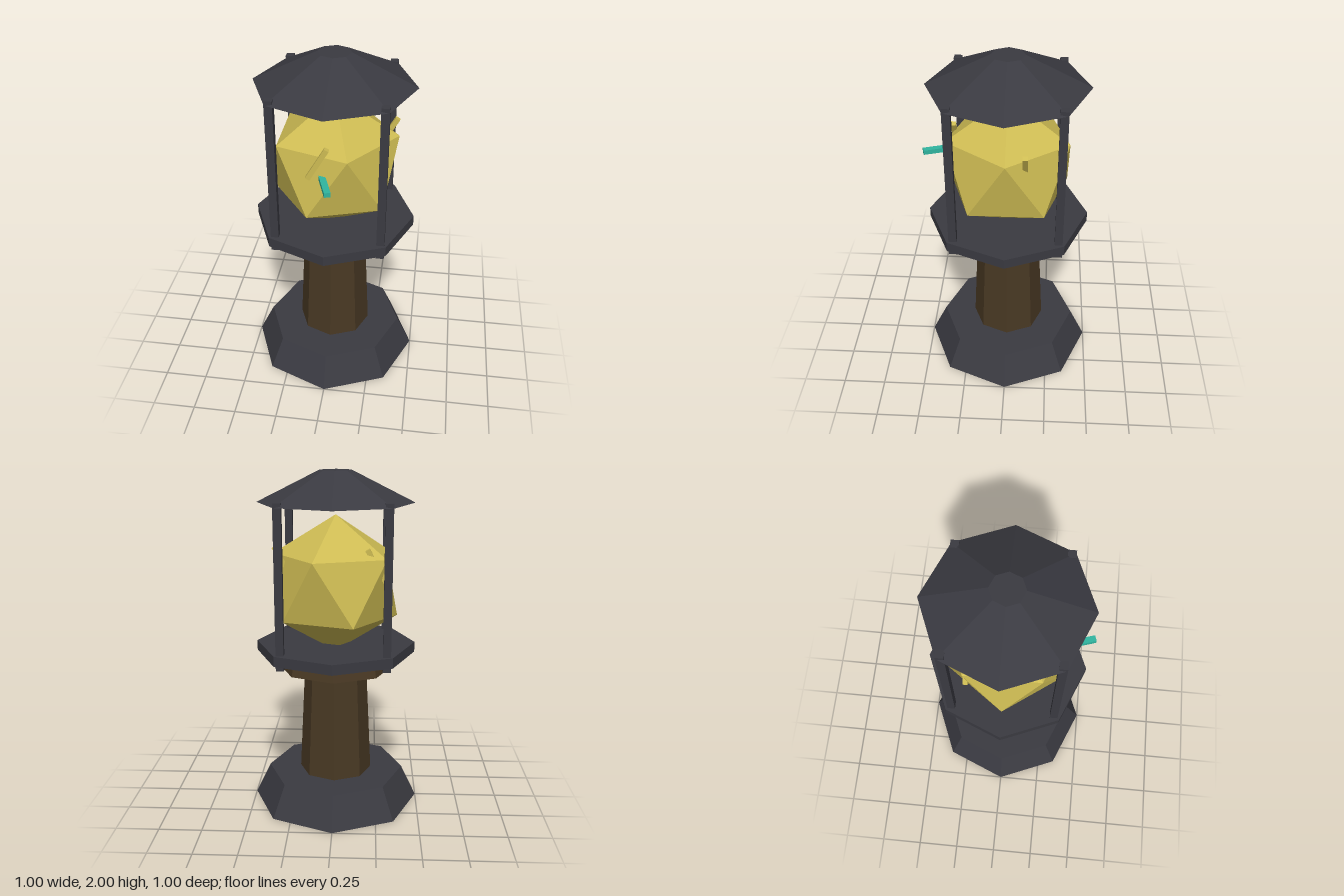
import * as THREE from 'three';
import { ConvexGeometry } from 'three/addons/geometries/ConvexGeometry.js';

function material(name, color) {
  const m = new THREE.MeshStandardMaterial({ color, flatShading: true });
  m.name = name;
  return m;
}

export function createModel() {
  const group = new THREE.Group();
  const iron = material('dark iron', 0x3a3a41);
  const wood = material('dark wood', 0x483823);
  const amber = material('amber crystal', 0xcdbb53);
  const teal = material('teal', 0x30b5a0);

  function add(name, geometry, mat, x = 0, y = 0, z = 0) {
    const mesh = new THREE.Mesh(geometry, mat);
    mesh.name = name;
    mesh.position.set(x, y, z);
    group.add(mesh);
    return mesh;
  }

  // Eight-sided tapered section between two heights
  function octagon(name, mat, bottomRadius, topRadius, y0, y1) {
    const g = new THREE.CylinderGeometry(topRadius, bottomRadius, y1 - y0, 8);
    return add(name, g, mat, 0, (y0 + y1) / 2, 0);
  }

  // Pedestal
  octagon('base', iron, 0.5, 0.41, 0, 0.19);
  octagon('column', wood, 0.217, 0.182, 0.19, 0.9);
  octagon('collar', wood, 0.343, 0.323, 0.85, 0.945);
  octagon('platform', iron, 0.47, 0.47, 0.94, 1.0);

  // Cage posts and roof
  for (const x of [-0.3, 0.3]) {
    for (const z of [-0.3, 0.3]) {
      add('post', new THREE.BoxGeometry(0.045, 0.935, 0.045), iron, x, 1.378, z);
    }
  }
  octagon('roof', iron, 0.453, 0.093, 1.82, 2.0);

  // Twenty-sided crystal: two poles and two staggered rings of five
  const R = 0.405;
  const ringY = R / Math.sqrt(5);
  const points = [new THREE.Vector3(0, R, 0), new THREE.Vector3(0, -R, 0)];
  for (let i = 0; i < 5; i++) {
    const a = (i * Math.PI * 2) / 5;
    const x = 2 * ringY * Math.cos(a), z = 2 * ringY * Math.sin(a);
    points.push(new THREE.Vector3(x, ringY, z), new THREE.Vector3(-x, -ringY, -z));
  }
  add('crystal', new ConvexGeometry(points), amber, 0, 1.347, 0);

  // Three slanted slivers set around the crystal
  for (const degrees of [100, 220, 340]) {
    const a = THREE.MathUtils.degToRad(degrees);
    const sliver = add('sliver', new THREE.BoxGeometry(0.028, 0.21, 0.028), amber,
      0.31 * Math.cos(a), 1.49, 0.31 * Math.sin(a));
    sliver.rotation.z = -Math.PI / 6;
  }

  // Small pointer sticking out of the front
  const pointer = add('pointer', new THREE.BoxGeometry(0.035, 0.027, 0.2), teal, -0.004, 1.412, 0.385);
  pointer.rotation.y = THREE.MathUtils.degToRad(18);

  return group;
}
